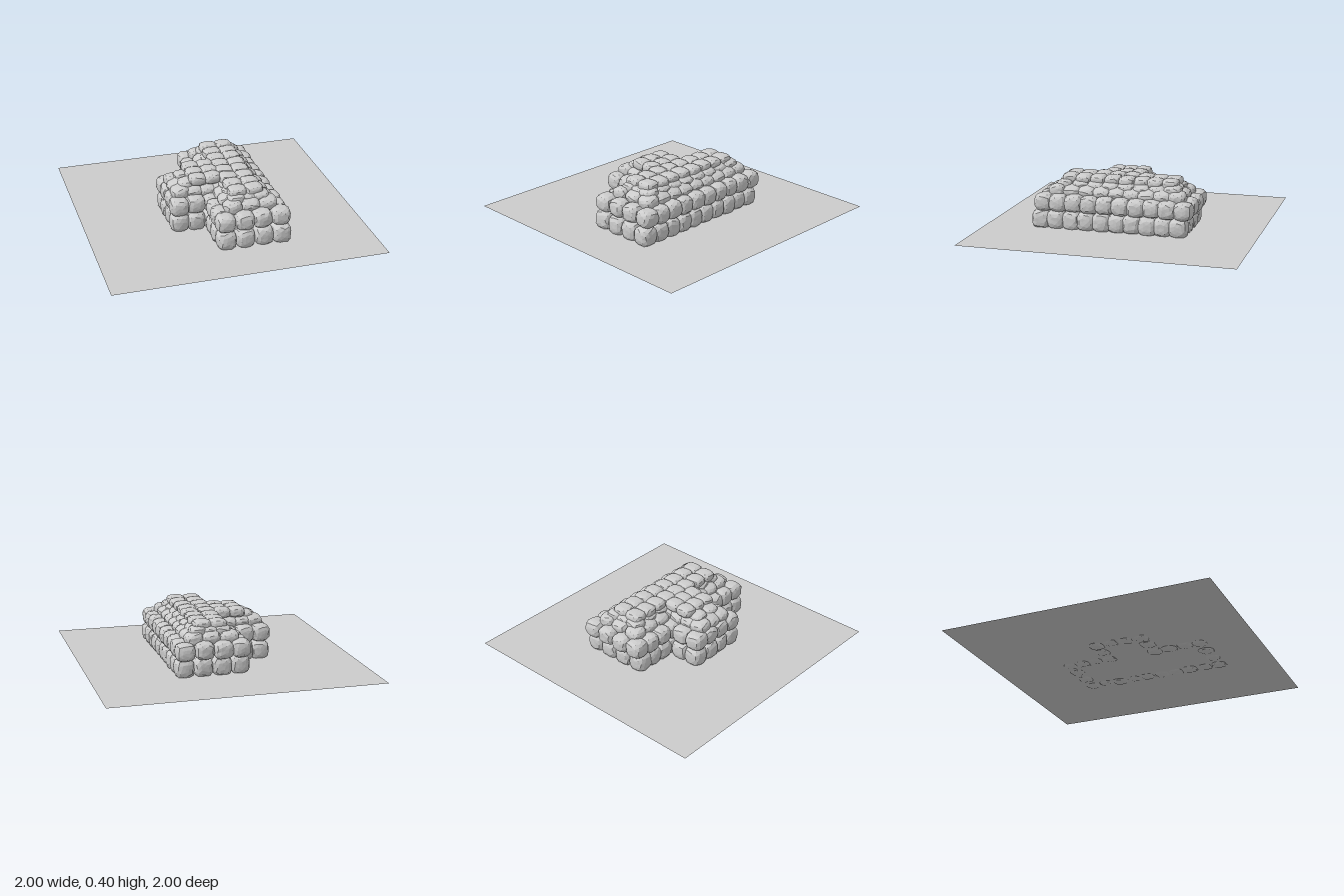
import * as THREE from 'three';
import { mergeVertices } from 'three/addons/utils/BufferGeometryUtils.js';

let seed = 7;
const rand = () => (seed = (seed * 16807) % 2147483647) / 2147483647;
const jitter = (a) => (rand() - 0.5) * 2 * a;

const material = new THREE.MeshStandardMaterial({ color: 0xcccccc, flatShading: true });

// A blocky boulder: an icosphere pushed towards a box, then roughened
function stoneGeometry(w, h, d) {
  let geo = new THREE.IcosahedronGeometry(1, 2);
  geo.deleteAttribute('uv');
  geo.deleteAttribute('normal');
  geo = mergeVertices(geo);
  const p = geo.attributes.position;
  const v = new THREE.Vector3();
  const power = 3.4;
  const turn = new THREE.Euler(jitter(0.3), jitter(0.5), jitter(0.3));
  for (let i = 0; i < p.count; i++) {
    v.fromBufferAttribute(p, i).applyEuler(turn);
    const n = Math.abs(v.x) ** power + Math.abs(v.y) ** power + Math.abs(v.z) ** power;
    v.multiplyScalar(n ** (-1 / power) * (1 + jitter(0.025)));
    p.setXYZ(i, v.x * w / 2, v.y * h / 2, v.z * d / 2);
  }
  geo.computeVertexNormals();
  return geo;
}

function addStone(group, x, y, z, size, angle = 0, tilt = 0) {
  const stone = new THREE.Mesh(stoneGeometry(...size), material);
  stone.name = 'stone';
  stone.position.set(x + jitter(0.004), y + jitter(0.003), z + jitter(0.004));
  stone.rotation.set(tilt, angle + jitter(0.06), jitter(0.05), 'YXZ');
  group.add(stone);
}

// T-shaped plan through the stone centres, shrunk by an inset
function plan(inset, back, front, wingLeft) {
  const l = -0.08 + inset, r = 0.33 - inset;
  const wb = -0.12 + inset, wf = 0.235 - inset;
  return [[l, back], [r, back], [r, front], [l, front],
    [l, wf], [wingLeft, wf], [wingLeft, wb], [l, wb]];
}

// Lay stones end to end along a closed plan
function course(name, outline, y, size, pitch, tilt = 0) {
  const group = new THREE.Group();
  group.name = name;
  outline.forEach(([x0, z0], i) => {
    const [x1, z1] = outline[(i + 1) % outline.length];
    const dx = x1 - x0, dz = z1 - z0;
    const count = Math.max(1, Math.round(Math.hypot(dx, dz) / pitch));
    const angle = Math.atan2(dz, -dx);
    for (let k = 0; k < count; k++) {
      const t = k / count;
      addStone(group, x0 + dx * t, y, z0 + dz * t, size, angle, k ? tilt : tilt / 2);
    }
  });
  return group;
}

// Rectangular bed of stones
function bed(name, xs, z0, z1, rows, y, size) {
  const group = new THREE.Group();
  group.name = name;
  for (const x of xs) {
    for (let k = 0; k < rows; k++) {
      addStone(group, x, y, z0 + (z1 - z0) * k / (rows - 1), size);
    }
  }
  return group;
}

export function createModel() {
  seed = 7;
  const model = new THREE.Group();
  model.name = 'stoneMound';

  // Flat square ground slab, just above the feet of the lowest stones
  const slab = new THREE.Mesh(
    new THREE.PlaneGeometry(2, 2),
    new THREE.MeshStandardMaterial({ color: 0xcccccc, side: THREE.DoubleSide }));
  slab.name = 'groundSheet';
  slab.rotation.x = -Math.PI / 2;
  slab.position.y = 0.012;
  model.add(slab);

  // Two upright courses of wall
  model.add(course('lowerCourse', plan(0, -0.445, 0.588, -0.33), 0.072, [0.14, 0.142, 0.14], 0.118));
  model.add(course('upperCourse', plan(0, -0.48, 0.572, -0.33), 0.198, [0.14, 0.128, 0.14], 0.118));

  // Two stepped courses sloping in to the top
  model.add(course('lowerSlope', plan(0.075, -0.415, 0.485, -0.3), 0.272, [0.135, 0.095, 0.13], 0.11, 0.35));
  model.add(course('upperSlope', plan(0.115, -0.37, 0.44, -0.24), 0.308, [0.13, 0.085, 0.12], 0.11, 0.3));

  // Flat crests of the long body and of the side wing
  model.add(bed('mainCrest', [0.055, 0.175], -0.345, 0.415, 8, 0.352, [0.135, 0.075, 0.122]));
  model.add(bed('wingCrest', [-0.165, -0.055], -0.045, 0.15, 3, 0.35, [0.13, 0.078, 0.115]));

  return model;
}
